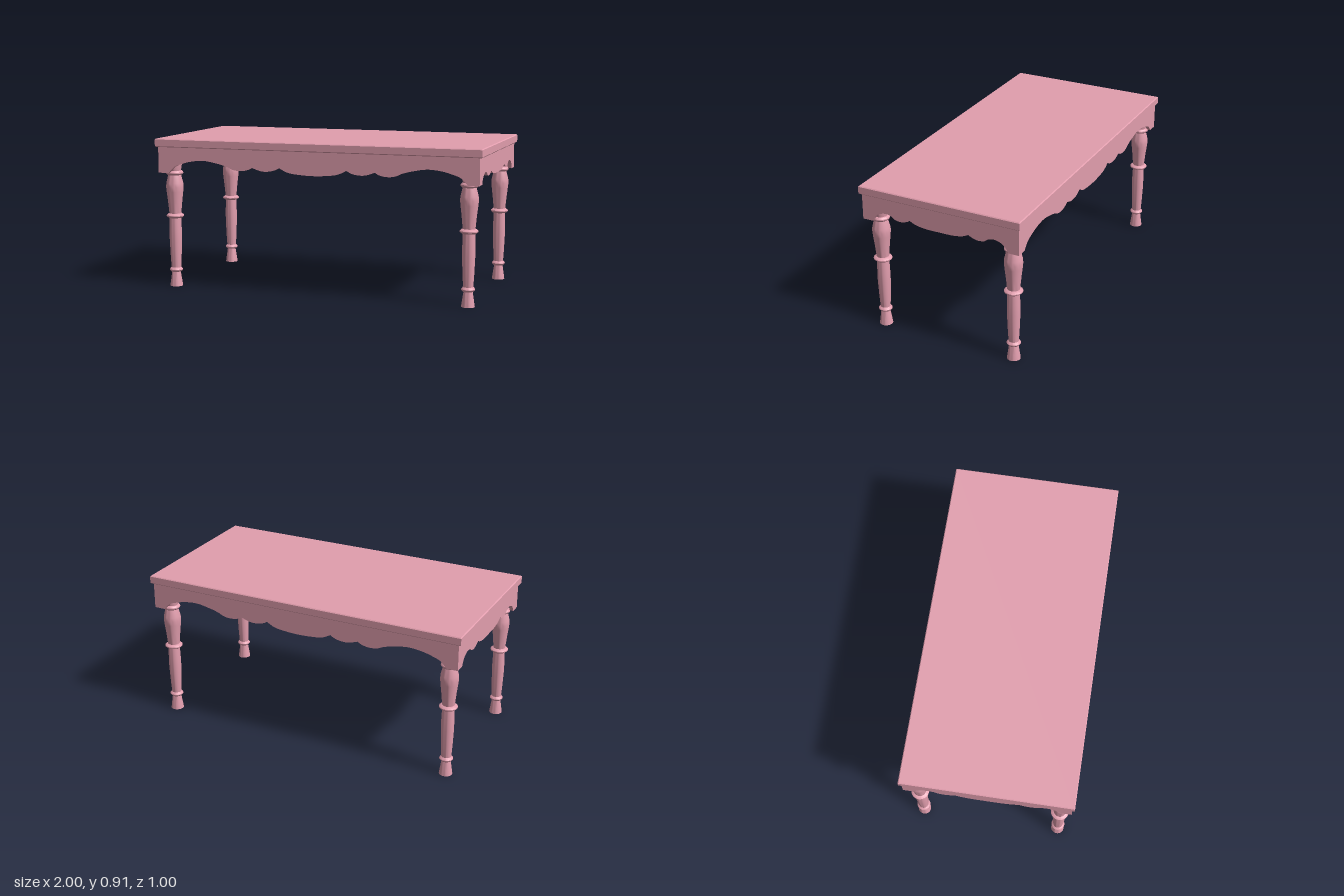
import * as THREE from 'three';
import { toCreasedNormals } from 'three/addons/utils/BufferGeometryUtils.js';

const TOP = 0.906, UNDER = 0.856, CEILING = 0.786, THICK = 0.022, BEVEL = 0.005;
const APRON_X = 0.984, APRON_Z = 0.488;
const pinkWood = new THREE.MeshStandardMaterial({ color: 0xe29eae });

// Half outlines of the scalloped lower edges, from the centre outward.
// Each inner list is one smooth curve; curves meet in a cusp.
const longEdge = [
  [[0, 0.717], [0.07, 0.72], [0.15, 0.73], [0.206, 0.756]],
  [[0.206, 0.756], [0.238, 0.74], [0.28, 0.732], [0.324, 0.734], [0.377, 0.751]],
  [[0.377, 0.751], [0.41, 0.735], [0.457, 0.729], [0.5, 0.735], [0.537, 0.751],
    [0.596, 0.767], [0.687, 0.781], [0.778, 0.772], [0.858, 0.749]],
  [[0.858, 0.749], [0.885, 0.734], [0.917, 0.7]],
];
const shortEdge = [
  [[0, 0.726], [0.084, 0.727], [0.146, 0.737], [0.183, 0.754]],
  [[0.183, 0.754], [0.205, 0.742], [0.242, 0.733], [0.28, 0.739], [0.303, 0.754],
    [0.338, 0.762], [0.376, 0.753], [0.405, 0.733], [0.424, 0.7]],
];

// Extruded board, centred on z = 0, with a mirrored scalloped edge
function apronGeometry(edge, halfLength) {
  const half = edge.flatMap((curve) =>
    new THREE.SplineCurve(curve.map(([x, y]) => new THREE.Vector2(x, y)))
      .getPoints(curve.length * 5).slice(1));
  half.push(new THREE.Vector2(halfLength, 0.7), new THREE.Vector2(halfLength, UNDER));
  const mirrored = half.map((p) => new THREE.Vector2(-p.x, p.y)).reverse();
  const shape = new THREE.Shape([...mirrored, new THREE.Vector2(0, edge[0][0][1]), ...half]);
  const geometry = new THREE.ExtrudeGeometry(shape, { depth: THICK, bevelEnabled: false });
  geometry.translate(0, 0, -THICK / 2);
  return toCreasedNormals(geometry, 0.5);
}

// Rectangular slab with chamfered edges, lying flat and standing on y = 0
function slabGeometry(width, height, depth) {
  const x = width / 2 - BEVEL, z = depth / 2 - BEVEL;
  const outline = new THREE.Shape(
    [[-x, -z], [x, -z], [x, z], [-x, z]].map(([a, b]) => new THREE.Vector2(a, b)));
  const geometry = new THREE.ExtrudeGeometry(outline, {
    depth: height - 2 * BEVEL, bevelSize: BEVEL, bevelThickness: BEVEL, bevelSegments: 1,
  });
  geometry.rotateX(-Math.PI / 2);
  geometry.translate(0, BEVEL, 0);
  return geometry;
}

// Turned leg: tapered foot, three rings, long shaft and vase-shaped swelling
function legGeometry() {
  const profile = [
    [0, 0], [0.039, 0], [0.034, 0.035], [0.026, 0.088],
    [0.032, 0.089], [0.04, 0.099], [0.04, 0.103], [0.031, 0.114],
    [0.029, 0.115], [0.033, 0.18], [0.0375, 0.29], [0.037, 0.35], [0.035, 0.42],
    [0.041, 0.421], [0.053, 0.431], [0.053, 0.437], [0.041, 0.447],
    [0.036, 0.448], [0.043, 0.52], [0.05, 0.58], [0.053, 0.61], [0.051, 0.633], [0.039, 0.682],
    [0.044, 0.683], [0.052, 0.692], [0.052, 0.699], [0.044, 0.708],
    [0.038, 0.709], [0.043, 0.735], [0.046, 0.76], [0.046, CEILING],
  ].map(([r, y]) => new THREE.Vector2(r, y));
  return toCreasedNormals(new THREE.LatheGeometry(profile, 32), 0.6);
}

export function createModel() {
  const model = new THREE.Group();
  model.name = 'table';
  const add = (name, geometry, x, y, z, turn = 0) => {
    const mesh = new THREE.Mesh(geometry, pinkWood);
    mesh.name = name;
    mesh.position.set(x, y, z);
    mesh.rotation.y = turn;
    model.add(mesh);
  };

  // Chamfered top slab, and the solid core that fills the frame beneath it
  add('tableTop', slabGeometry(2, TOP - UNDER, 1), 0, UNDER, 0);
  const core = new THREE.BoxGeometry(
    2 * (APRON_X - THICK), UNDER - CEILING, 2 * (APRON_Z - THICK));
  add('underCore', core, 0, (UNDER + CEILING) / 2, 0);

  // Apron frame
  const longBoard = apronGeometry(longEdge, APRON_X);
  const shortBoard = apronGeometry(shortEdge, APRON_Z - THICK);
  add('frontApron', longBoard, 0, 0, APRON_Z - THICK / 2);
  add('backApron', longBoard, 0, 0, -APRON_Z + THICK / 2);
  add('leftApron', shortBoard, APRON_X - THICK / 2, 0, 0, Math.PI / 2);
  add('rightApron', shortBoard, -APRON_X + THICK / 2, 0, 0, Math.PI / 2);

  // Four legs
  const leg = legGeometry();
  for (const [side, x] of [['Left', 0.912], ['Right', -0.912]]) {
    for (const [end, z] of [['front', 0.419], ['back', -0.419]]) {
      add(`${end}${side}Leg`, leg, x, 0, z);
    }
  }
  return model;
}
